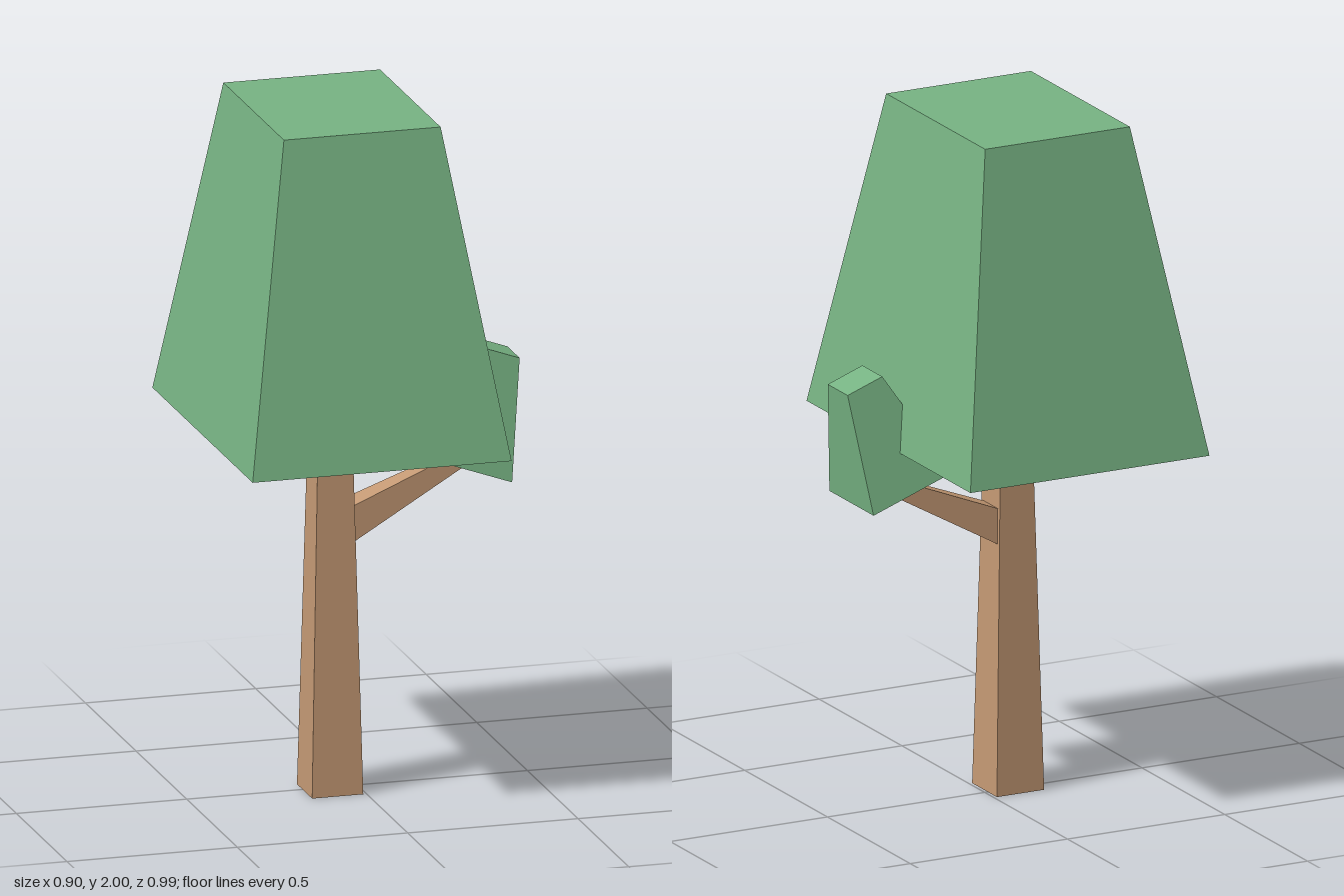
import * as THREE from 'three';

const leaf = new THREE.MeshStandardMaterial({ color: 0x77b383 });
leaf.name = 'leaf green';
const bark = new THREE.MeshStandardMaterial({ color: 0xc49974 });
bark.name = 'bark brown';

// Box standing on its origin, tapering from a bottom size to a top size
function taperedBlock(name, material, height, [bottomW, bottomD], [topW, topD]) {
  const geometry = new THREE.BoxGeometry(1, height, 1).translate(0, height / 2, 0).toNonIndexed();
  const p = geometry.attributes.position;
  for (let i = 0; i < p.count; i++) {
    const isTop = p.getY(i) > height / 2;
    p.setX(i, p.getX(i) * (isTop ? topW : bottomW));
    p.setZ(i, p.getZ(i) * (isTop ? topD : bottomD));
  }
  geometry.computeVertexNormals();
  const mesh = new THREE.Mesh(geometry, material);
  mesh.name = name;
  return mesh;
}

export function createModel() {
  const tree = new THREE.Group();
  tree.name = 'tree';

  // Square trunk, ending just inside the crown
  const trunk = taperedBlock('trunk', bark, 1.08, [0.15, 0.15], [0.1, 0.1]);
  trunk.position.set(-0.085, 0, 0.02);

  // Large crown
  const crown = taperedBlock('crown', leaf, 0.937, [0.76, 0.99], [0.46, 0.598]);
  crown.position.set(-0.073, 1.063, -0.002);

  // Side branch, rising out of the trunk into the small leaf clump
  const branch = taperedBlock('branch', bark, 0.43, [0.101, 0.094], [0.042, 0.042]);
  branch.position.set(-0.07, 0.768, 0.02);
  branch.rotation.z = -1.124;

  // Small leaf clump, leaning outward
  const clump = taperedBlock('leafClump', leaf, 0.335, [0.266, 0.267], [0.117, 0.12]);
  clump.position.set(0.28, 0.946, 0.035);
  clump.rotation.z = -0.347;

  tree.add(trunk, crown, branch, clump);
  return tree;
}
